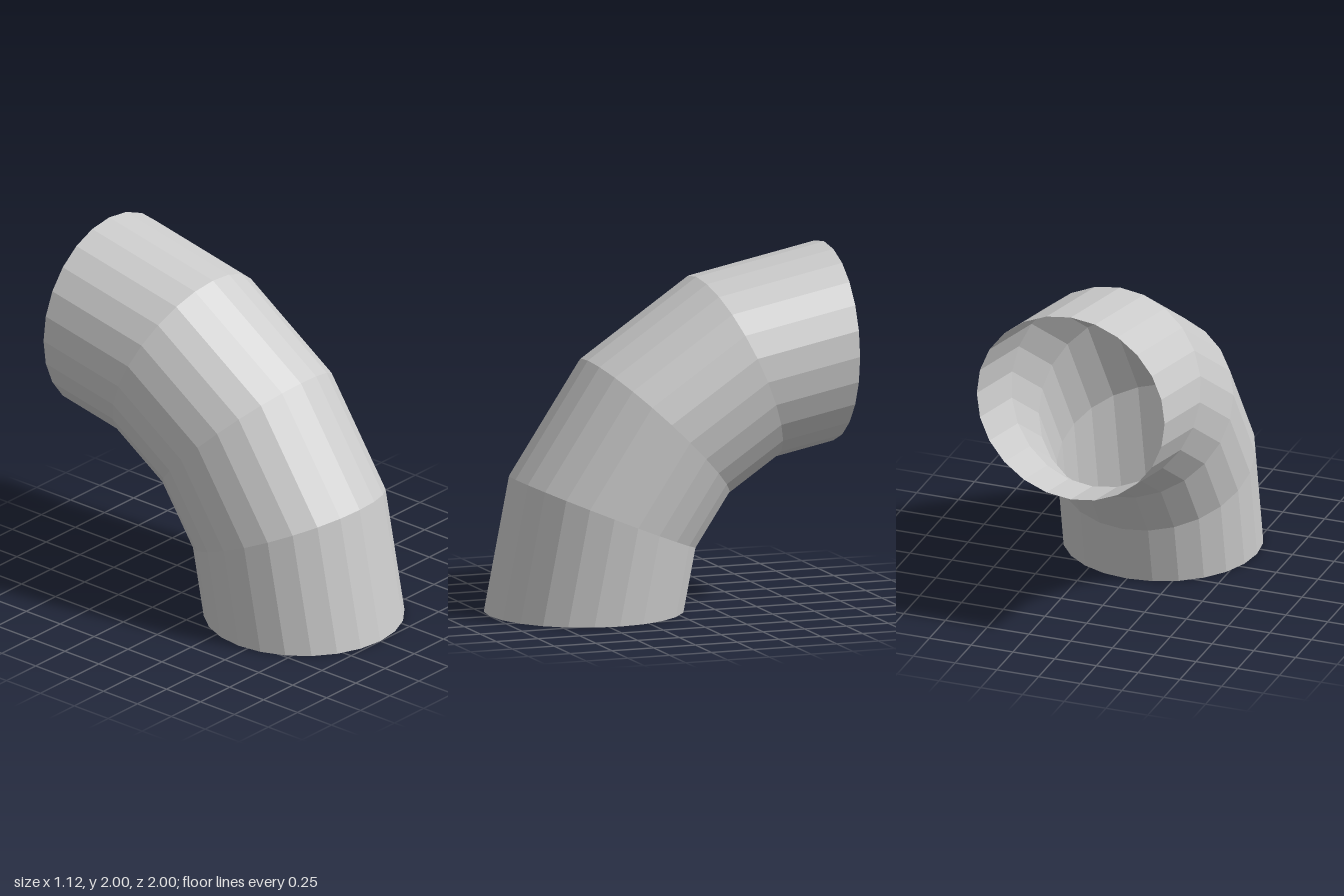
import * as THREE from 'three';

const BEND_RADIUS = 1.4375; // centre line of the elbow
const PIPE_RADIUS = 0.5625;
const SIDES = 24;
const SECTIONS = 4;

export function createModel() {
  const model = new THREE.Group();
  model.name = 'pipeElbow';

  // Open quarter-turn pipe: stands on its lower mouth, upper mouth faces back
  const geometry = new THREE.TorusGeometry(BEND_RADIUS, PIPE_RADIUS, SIDES, SECTIONS, Math.PI / 2);
  geometry.rotateY(-Math.PI / 2);
  geometry.translate(0, 0, -1);

  const material = new THREE.MeshStandardMaterial({
    color: 0xcccccc,
    flatShading: true,
    side: THREE.DoubleSide,
  });
  const pipe = new THREE.Mesh(geometry, material);
  pipe.name = 'bentPipe';
  model.add(pipe);

  return model;
}
